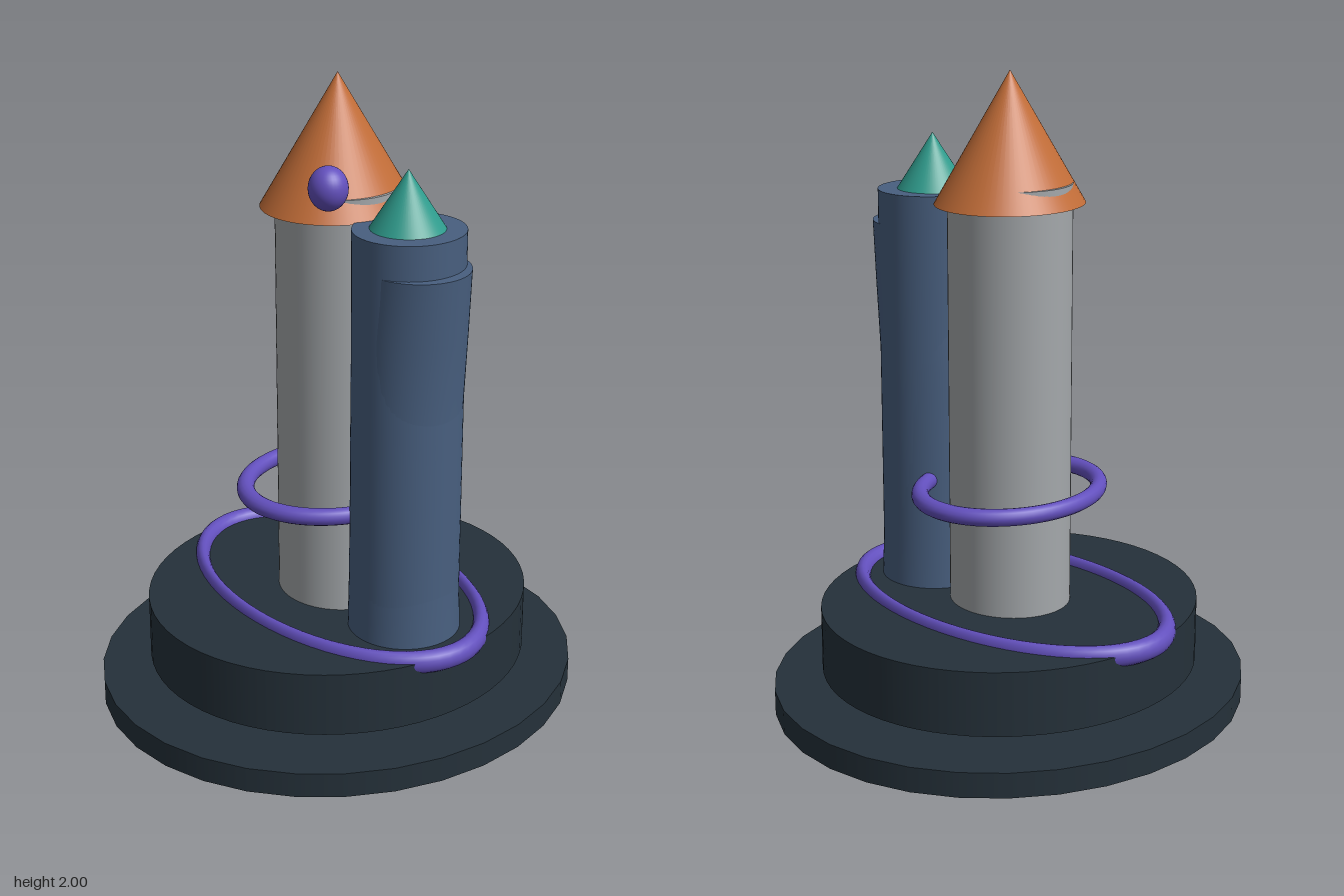
import * as THREE from 'three';

export function createModel() {
  const model = new THREE.Group();
  model.name = 'twinTowerRocket';

  const mat = (name, color) => {
    const m = new THREE.MeshStandardMaterial({ color });
    m.name = name;
    return m;
  };
  const dark = mat('darkSlate', 0x25313a);
  const grey = mat('grey', 0xa4a8ab);
  const blue = mat('steelBlue', 0x485f7f);
  const orange = mat('orange', 0xc26d38);
  const teal = mat('teal', 0x2f9c8d);
  const purple = mat('purple', 0x6350be);

  const add = (name, geometry, material) => {
    const mesh = new THREE.Mesh(geometry, material);
    mesh.name = name;
    model.add(mesh);
    return mesh;
  };

  // Upright elliptical cylinder or cone between two heights
  const column = (name, material, x, y0, y1, rx, rz, topScale = 1, sides = 64) => {
    const g = new THREE.CylinderGeometry(topScale, 1, y1 - y0, sides);
    g.scale(rx, 1, rz);
    g.translate(x, (y0 + y1) / 2, 0);
    return add(name, g, material);
  };

  // Flat elliptical ring; its tube widens with the stretch
  const ring = (name, y, rx, rz, tube, halfHeight) => {
    const g = new THREE.TorusGeometry(1, tube, 16, 64);
    g.rotateX(Math.PI / 2);
    g.scale(rx, halfHeight / tube, rz);
    g.translate(0, y, 0);
    return add(name, g, purple);
  };

  // Two-step base with a gap between the discs
  column('lowerBase', dark, 0, 0, 0.08, 0.727, 0.78, 1, 32);
  column('upperBase', dark, 0, 0.12, 0.325, 0.58, 0.62);

  // Main tower, its rim just breaking through the roof
  column('mainTower', grey, 0, 0.325, 1.665, 0.197, 0.185);
  column('mainRoof', orange, 0, 1.6, 2, 0.222, 0.24, 0);

  // Side tower
  column('sideTower', blue, 0.34, 0.325, 1.605, 0.165, 0.17);
  column('sideRoof', teal, 0.332, 1.605, 1.78, 0.112, 0.112, 0);

  // Bent sleeve around the side tower: rows of [y, centre x, x radius, z radius]
  const rows = [
    [0.325, 0.338, 0.174, 0.174], [0.5, 0.336, 0.168, 0.17], [0.75, 0.335, 0.165, 0.168],
    [1.05, 0.338, 0.167, 0.168], [1.3, 0.351, 0.174, 0.166], [1.5, 0.372, 0.168, 0.159],
  ];
  const sleeve = new THREE.CylinderGeometry(1, 1, rows.length - 1, 64, rows.length - 1);
  const p = sleeve.attributes.position;
  for (let i = 0; i < p.count; i++) {
    const [y, cx, rx, rz] = rows[Math.round(p.getY(i) + (rows.length - 1) / 2)];
    p.setXYZ(i, cx + p.getX(i) * rx, y, p.getZ(i) * rz);
  }
  sleeve.computeVertexNormals();
  add('sideTowerSleeve', sleeve, blue);

  // Orbit rings and small ball
  ring('towerRing', 0.69, 0.257, 0.307, 0.095, 0.027);
  ring('baseRing', 0.317, 0.58, 0.35, 0.055, 0.036);
  const ball = new THREE.SphereGeometry(1, 32, 20);
  ball.scale(0.058, 0.065, 0.058);
  ball.translate(0.257, 1.746, 0.23);
  add('orbitBall', ball, purple);

  return model;
}
